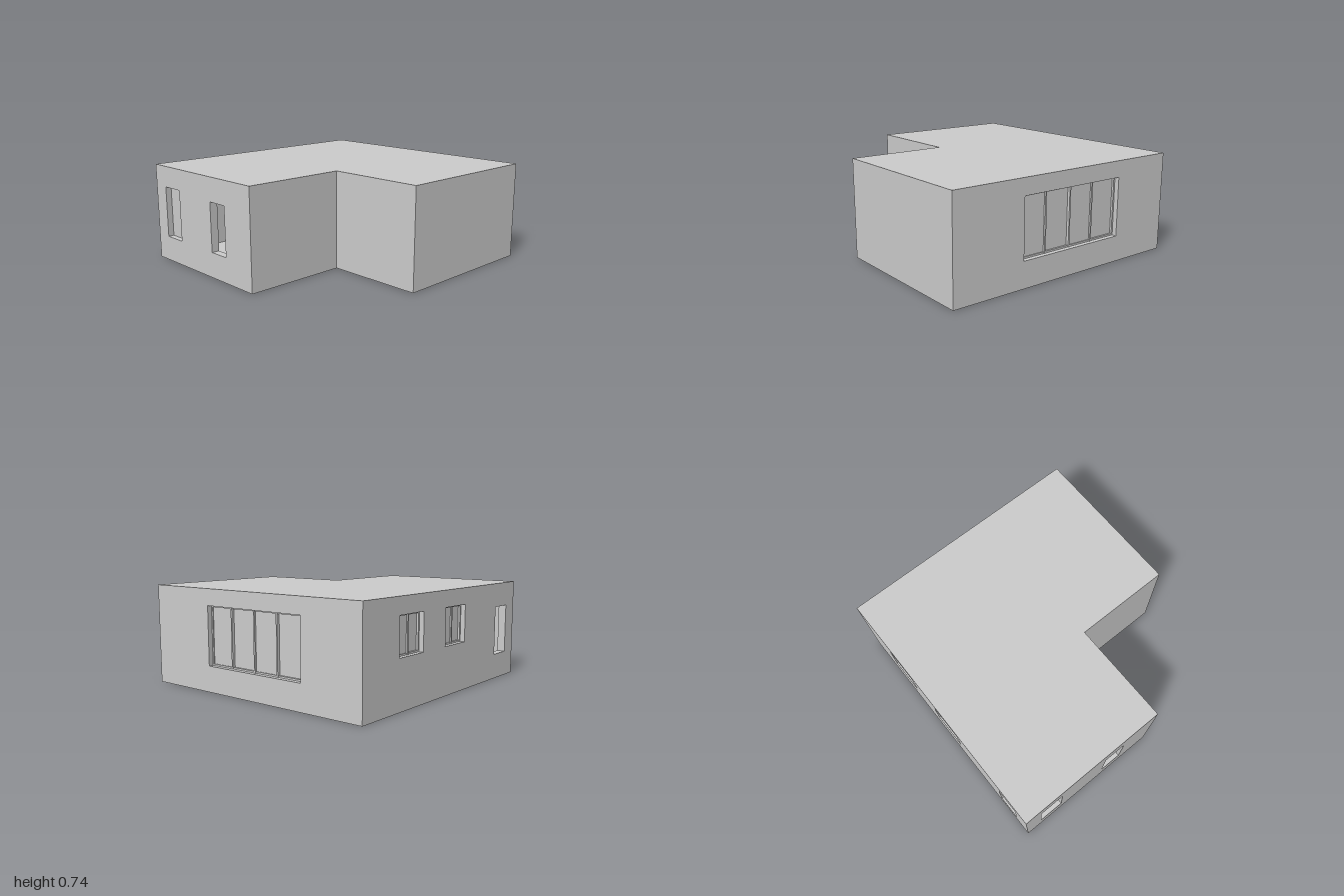
import * as THREE from 'three';

const T = 0.06, H = 0.74, SLAB = 0.02;
const grey = new THREE.MeshStandardMaterial({ color: 0xcccccc, flatShading: true });
const orange = new THREE.MeshStandardMaterial({ color: 0xe0a010, flatShading: true });

function box(parent, name, [x0, x1], [y0, y1], [z0, z1], material = grey) {
  const mesh = new THREE.Mesh(new THREE.BoxGeometry(x1 - x0, y1 - y0, z1 - z0), material);
  mesh.position.set((x0 + x1) / 2, (y0 + y1) / 2, (z0 + z1) / 2);
  mesh.name = name;
  parent.add(mesh);
}

// L-shaped horizontal slab
function slab(name, y) {
  const outline = [[-0.96, -1], [0.22, -1], [0.22, -0.21], [0.96, -0.21], [0.96, 1], [-0.96, 1]];
  const shape = new THREE.Shape(outline.map(([x, z]) => new THREE.Vector2(x, z)));
  const geometry = new THREE.ExtrudeGeometry(shape, { depth: SLAB, bevelEnabled: false });
  geometry.rotateX(-Math.PI / 2);
  const mesh = new THREE.Mesh(geometry, grey);
  mesh.position.y = y;
  mesh.name = name;
  return mesh;
}

// Wall in its own frame: outer face at local z = T, holes as [x0, x1, y0, y1]
function wall(name, a, b, holes, x, z, turn) {
  const rect = (P, x0, x1, y0, y1) => new P([[x0, y0], [x1, y0], [x1, y1], [x0, y1]].map(p => new THREE.Vector2(...p)));
  const shape = rect(THREE.Shape, a, b, SLAB, H - SLAB);
  for (const h of holes) shape.holes.push(rect(THREE.Path, ...h));
  const group = new THREE.Group();
  const mesh = new THREE.Mesh(new THREE.ExtrudeGeometry(shape, { depth: T, bevelEnabled: false }), grey);
  mesh.name = name + 'Panel';
  group.add(mesh);
  group.name = name;
  group.position.set(x, 0, z);
  group.rotation.y = turn;
  return group;
}

// Recessed sliding window: joints split it into panes at alternating depths
function slidingWindow(parent, [x0, x1, y0, y1], joints, depths) {
  const edges = [x0, ...joints, x1], bar = 0.012;
  depths.forEach((d, i) => box(parent, 'windowPane', [edges[i], edges[i + 1]], [y0, y1], [T - d - 0.012, T - d]));
  for (const x of joints) box(parent, 'windowMullion', [x - bar / 2, x + bar / 2], [y0, y1], [0, T - 0.03]);
  box(parent, 'windowSillRail', [x0, x1], [y0, y0 + bar], [0, T - 0.035]);
  box(parent, 'windowHeadRail', [x0, x1], [y1 - bar, y1], [0, T - 0.035]);
  box(parent, 'windowJamb', [x0, x0 + bar], [y0, y1], [0, T - 0.035]);
  box(parent, 'windowJamb', [x1 - bar, x1], [y0, y1], [0, T - 0.035]);
}

export function createModel() {
  const model = new THREE.Group();
  model.name = 'house';
  model.add(slab('floor', 0), slab('roof', H - SLAB));

  // Front wall: glazed window and open window
  const frontWindow = [-0.83, -0.64, 0.19, 0.58];
  const front = wall('frontWall', -0.96, 0.22, [frontWindow, [-0.24, -0.07, 0.19, 0.56]], 0, 1 - T, 0);
  box(front, 'frontWindowPane', [-0.83, -0.655], [0.19, 0.58], [0, T - 0.045]);
  box(front, 'frontWindowEdge', [-0.655, -0.64], [0.19, 0.58], [0, T - 0.052]);

  // Back wall: wide four-pane window
  const wide = [-0.4, 0.475, 0.19, 0.62];
  const back = wall('backWall', -0.96, 0.96, [wide], 0, -1 + T, Math.PI);
  slidingWindow(back, wide, [-0.19, 0.03, 0.24], [0.042, 0.05, 0.042, 0.05]);

  // Left-hand side wall: two sliding windows and one open window
  const small = [[-0.62, -0.34, 0.35, 0.62], [-0.06, 0.21, 0.35, 0.62]];
  const side = wall('windowSideWall', -1 + T, 1 - T, [...small, [0.69, 0.87, 0.19, 0.56]], -0.96 + T, 0, -Math.PI / 2);
  for (const w of small) slidingWindow(side, w, [(w[0] + w[1]) / 2], [0.04, 0.05]);

  model.add(front, back, side);

  // Plain walls around the notch
  model.add(wall('plainSideWall', -0.21 + T, 1 - T, [], 0.96 - T, 0, Math.PI / 2));
  model.add(wall('notchFrontWall', 0.22 - T, 0.96, [], 0, 0.21 - T, 0));
  model.add(wall('notchSideWall', -1 + T, -0.21, [], 0.22 - T, 0, Math.PI / 2));

  // Interior partition with a small coloured fitting
  box(model, 'partition', [-0.9, -0.175], [SLAB, H - SLAB], [0.32, 0.36]);
  box(model, 'wallFitting', [-0.65, -0.592], [0.095, 0.15], [0.36, 0.375], orange);
  return model;
}
